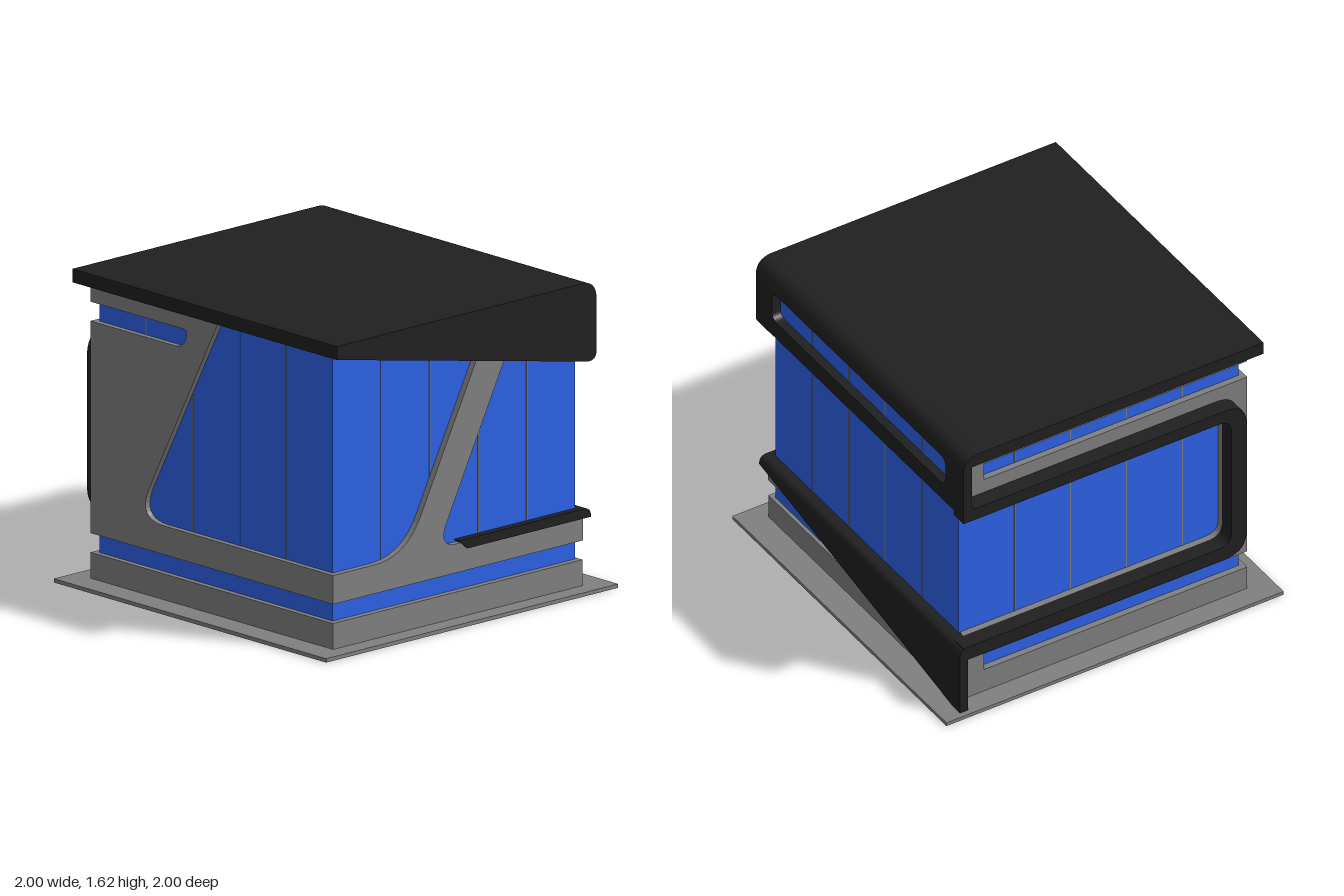
import * as THREE from 'three';

const material = (color) => new THREE.MeshStandardMaterial({ color });

// Closed path from [x, y, cornerRadius] points
function outline(points, path = new THREE.Shape()) {
  const n = points.length;
  points.forEach(([x, y, r = 0], i) => {
    const toward = ([px, py]) => {
      const d = Math.hypot(px - x, py - y);
      return [x + ((px - x) * r) / d, y + ((py - y) * r) / d];
    };
    const a = toward(points[(i + n - 1) % n]);
    const b = toward(points[(i + 1) % n]);
    if (i === 0) path.moveTo(...a);
    else path.lineTo(...a);
    if (r) path.quadraticCurveTo(x, y, ...b);
  });
  path.closePath();
  return path;
}

export function createModel() {
  const group = new THREE.Group();
  const grey = material(0x808080);
  const blue = material(0x2d62e8);
  const black = material(0x202020);

  const add = (name, geometry, mat) => {
    const mesh = new THREE.Mesh(geometry, mat);
    mesh.name = name;
    group.add(mesh);
  };
  const box = (name, mat, x0, x1, y0, y1, z0, z1) => {
    const g = new THREE.BoxGeometry(x1 - x0, y1 - y0, z1 - z0);
    add(name, g.translate((x0 + x1) / 2, (y0 + y1) / 2, (z0 + z1) / 2), mat);
  };
  const extrude = (shape, depth) =>
    new THREE.ExtrudeGeometry(shape, { depth, bevelEnabled: false, curveSegments: 10 });
  // Outline in x, y with thickness along z
  const facing = (name, mat, z0, z1, points, hole) => {
    const shape = outline(points);
    if (hole) shape.holes.push(outline(hole, new THREE.Path()));
    add(name, extrude(shape, z1 - z0).translate(0, 0, z0), mat);
  };
  // Outline in -z, y with thickness along x
  const sideways = (name, mat, x0, x1, points) =>
    add(name, extrude(outline(points), x1 - x0).rotateY(Math.PI / 2).translate(x0, 0, 0), mat);

  // Ground plate, plinth and glazed core
  box('groundPlate', grey, -1, 1, 0, 0.02, -1, 1);
  box('plinth', grey, -0.88, 0.9, 0.02, 0.155, -0.85, 0.86);
  box('glassCore', blue, -0.845, 0.865, 0.02, 1.55, -0.83, 0.83);

  // Thin joints between the glass panes
  for (let i = 1; i < 5; i++) {
    const x = 0.865 - 0.342 * i;
    const z = 0.83 - 0.332 * i;
    box('glassJointFrontBack', grey, x - 0.003, x + 0.003, 0.4, 1.545, -0.832, 0.832);
    box('glassJointSides', grey, -0.847, 0.867, 0.4, 1.545, z - 0.003, z + 0.003);
  }

  // Front wall with slanted edge and a slot open at the corner
  facing('frontWall', grey, 0.83, 0.86, [
    [-0.88, 0.255], [0.9, 0.255], [0.9, 0.405], [-0.54, 0.405, 0.2], [0.06, 1.55],
    [-0.88, 1.55], [-0.88, 1.46], [-0.17, 1.46, 0.03], [-0.19, 1.36, 0.07], [-0.88, 1.36],
  ]);

  // Left wall band with leaning strut
  sideways('leftWallStrut', grey, 0.865, 0.9, [
    [-0.83, 0.255], [0.85, 0.255], [0.85, 0.405], [-0.145, 0.405, 0.14], [0.39, 1.45],
    [0.18, 1.45], [-0.36, 0.405, 0.22], [-0.83, 0.405],
  ]);

  // Right wall around its window, with the slot continued
  sideways('rightWall', grey, -0.88, -0.845, [
    [-0.83, 0.255], [0.83, 0.255], [0.83, 0.42], [-0.71, 0.42, 0.08], [-0.71, 1.21, 0.08],
    [0.83, 1.21], [0.83, 1.55], [-0.83, 1.55], [-0.83, 1.46], [0.7, 1.46], [0.7, 1.36],
    [-0.83, 1.36],
  ]);
  box('backBand', grey, -0.88, 0.9, 0.255, 0.405, -0.853, -0.83);
  box('gapEnd', grey, -0.88, -0.845, 0.155, 0.255, -0.85, -0.7);

  // Roof folding down over the back
  sideways('roof', black, -0.97, 0.97, [
    [-0.9, 1.55], [0.83, 1.55], [0.83, 1.52], [0.88, 1.52], [0.88, 1.62, 0.1], [-0.9, 1.62],
  ]);
  facing('backFascia', black, -0.88, -0.83,
    [[-0.97, 1.29], [0.97, 1.29], [0.97, 1.52], [-0.97, 1.52]],
    [[-0.8, 1.34, 0.05], [-0.8, 1.51, 0.05], [0.82, 1.51, 0.05], [0.82, 1.34, 0.05]]);
  sideways('backFasciaLip', black, -0.97, 0.97, [
    [0.82, 1.21], [0.88, 1.21, 0.05], [0.88, 1.29], [0.82, 1.29],
  ]);
  sideways('roofSidePanel', black, 0.866, 0.97, [
    [-0.9, 1.55], [0.83, 1.205, 0.02], [0.88, 1.215, 0.04], [0.88, 1.62, 0.1], [-0.9, 1.62],
  ]);

  // Ribbon running round the right window
  sideways('windowRibbon', black, -0.97, -0.88, [
    [0.88, 0.34], [0.88, 0.42], [-0.71, 0.42, 0.08], [-0.71, 1.21, 0.08], [0.88, 1.21],
    [0.88, 1.28], [-0.8, 1.28, 0.13], [-0.8, 0.34, 0.13],
  ]);

  // Tapering ribbon across the back, ending in a ledge on the left
  facing('backWedge', black, -0.9, -0.855, [
    [-0.97, 0.02], [-0.9, 0.02], [0.907, 0.37], [-0.97, 0.37],
  ]);
  sideways('backLedge', black, -0.97, 0.907, [
    [0.82, 0.37], [0.9, 0.37], [0.9, 0.42, 0.045], [0.82, 0.42],
  ]);
  sideways('leftLedge', black, 0.86, 0.907, [
    [0, 0.42], [0.055, 0.37], [0.84, 0.37], [0.84, 0.42],
  ]);

  return group;
}
